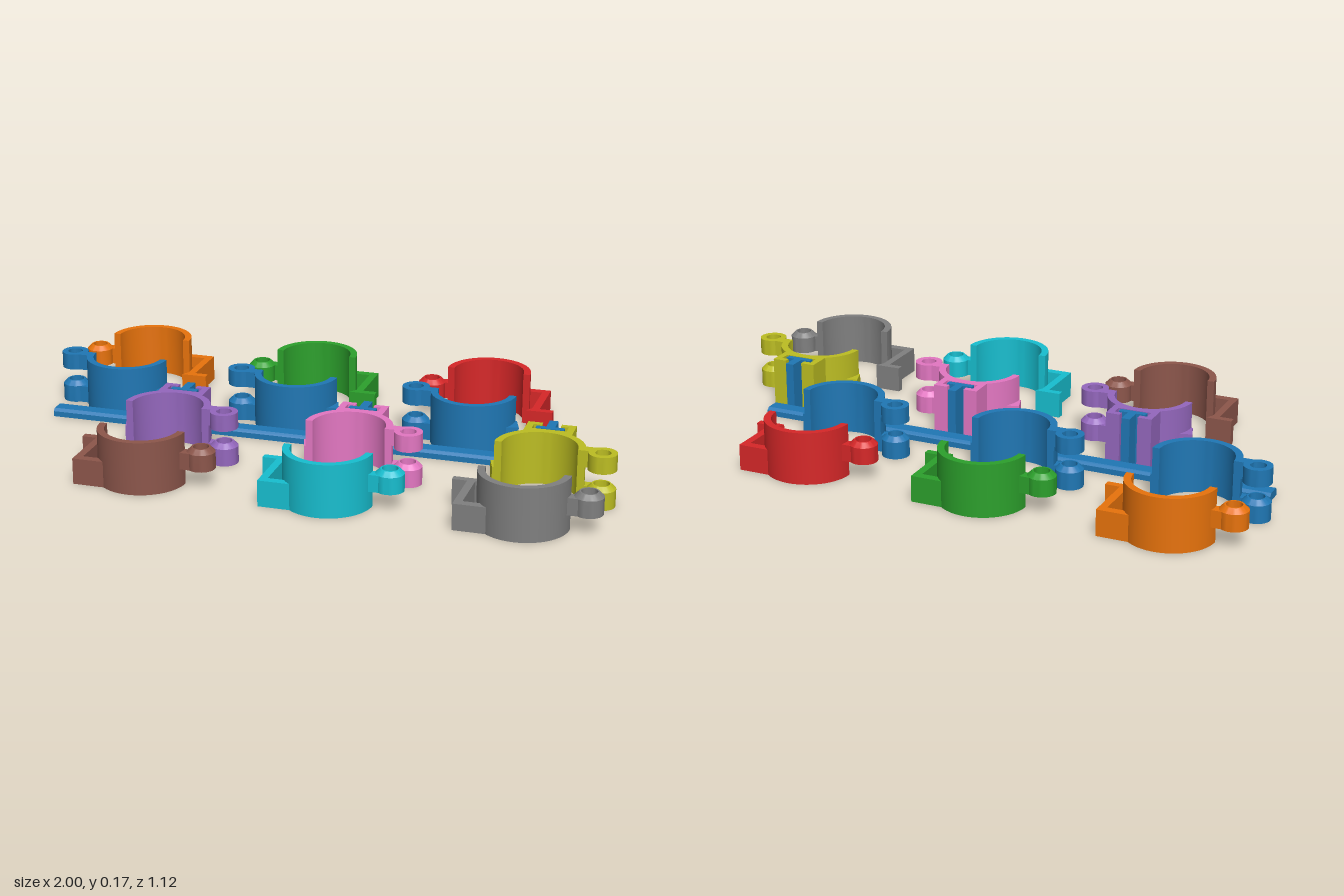
import * as THREE from 'three';
import { toCreasedNormals } from 'three/addons/utils/BufferGeometryUtils.js';

const H = 0.172, R_OUT = 0.141, R_IN = 0.118, HINGE_X = -0.195;

const COLORS = {
  blue: 0x1f77b4, orange: 0xff7f0e, green: 0x2ca02c, red: 0xd62728, purple: 0x9467bd,
  brown: 0x8c564b, pink: 0xe377c2, grey: 0x7f7f7f, olive: 0xbcbd22, cyan: 0x17becf,
};

// Plan outline (x, v) extruded upward from y0 to y1; v points to -z, or +z when flip is -1
function prism(name, pts, y0, y1, mat, flip = 1) {
  const shape = new THREE.Shape(pts.map(([x, v]) => new THREE.Vector2(x, v * flip)));
  let geo = new THREE.ExtrudeGeometry(shape, { depth: y1 - y0, bevelEnabled: false });
  geo.rotateX(-Math.PI / 2).translate(0, y0, 0);
  geo = toCreasedNormals(geo, 0.5);
  const mesh = new THREE.Mesh(geo, mat);
  mesh.name = name;
  return mesh;
}

const rect = (x0, x1, v0, v1) => [[x0, v0], [x1, v0], [x1, v1], [x0, v1]];

// Half-round band outline
function halfRing() {
  const pts = [], n = 40;
  for (let i = 0; i <= n; i++) {
    const a = (Math.PI * i) / n;
    pts.push([R_OUT * Math.cos(a), R_OUT * Math.sin(a)]);
  }
  for (let i = n; i >= 0; i--) {
    const a = (Math.PI * i) / n;
    pts.push([R_IN * Math.cos(a), R_IN * Math.sin(a)]);
  }
  return pts;
}

// Hollow hinge knuckle; optional cone on top and conical recess below
function knuckle(y0, y1, cone, recess, mat) {
  const r = 0.045, b = 0.025, c = 0.015;
  const pts = [
    [b, y1 + (cone ? c : 0)], [b, y0 + (recess ? c : 0)],
    ...(recess ? [[0.03, y0 + c], [0.042, y0]] : []),
    [r, y0], [r, y1],
    ...(cone ? [[0.03, y1 + c]] : []),
    [b, y1 + (cone ? c : 0)],
  ].map(([x, y]) => new THREE.Vector2(x, y));
  const geo = toCreasedNormals(new THREE.LatheGeometry(pts, 32), 0.5);
  const mesh = new THREE.Mesh(geo, mat);
  mesh.name = 'hingeKnuckle';
  mesh.position.x = HINGE_X;
  return mesh;
}

const hingeArm = [[-0.172, 0], [-0.125, 0], [-0.12, 0.036], [-0.18, 0.036]];

// Clip half with two outer knuckles and a catch tooth
function baseClip(mat, flip) {
  const g = new THREE.Group();
  g.name = 'baseClip';
  g.add(prism('band', halfRing(), 0, H, mat, flip));
  for (const [y0, y1, cone, recess] of [[0, 0.057, true, false], [0.118, H, false, true]]) {
    g.add(knuckle(y0, y1, cone, recess, mat));
    g.add(prism('hingeArm', hingeArm, y0, y1, mat, flip));
  }
  const tooth = [[0.13, 0], [0.146, 0], [0.164, 0.056], [0.118, 0.068]];
  g.add(prism('catchTooth', tooth, 0, 0.085, mat, flip));
  return g;
}

// Clip half with the middle knuckle and a springy latch arm
function latchClip(mat) {
  const g = new THREE.Group();
  g.name = 'latchClip';
  g.add(prism('band', halfRing(), 0, H, mat));
  g.add(knuckle(0.06, 0.115, true, true, mat));
  g.add(prism('hingeArm', hingeArm, 0.06, 0.115, mat));
  const latch = [
    [0.07, 0.108], [0.1, 0.08], [0.168, 0.08], [0.168, -0.078], [0.153, -0.104],
    [0.24, -0.104], [0.24, -0.08], [0.193, -0.08], [0.193, 0.108],
  ];
  g.add(prism('latchArm', latch, 0, 0.085, mat));
  return g;
}

// C-shaped channel that slides over a T post
function slideChannel(mat) {
  const half = [[0.077, 0.11], [0.077, 0.2], [0.03, 0.2], [0.03, 0.18], [0.055, 0.18], [0.055, 0.145]];
  const mirrored = half.map(([x, v]) => [-x, v]).reverse();
  return prism('slideChannel', [...half, ...mirrored, [-0.04, 0.118], [0, 0.128], [0.04, 0.118]], 0, H, mat);
}

export function createModel() {
  const model = new THREE.Group();
  model.name = 'hingedClipSet';
  const mats = {};
  for (const [name, color] of Object.entries(COLORS)) {
    mats[name] = new THREE.MeshStandardMaterial({ color });
    mats[name].name = name;
  }
  const place = (part, x, z, turned = false) => {
    part.position.set(x, 0, z);
    if (turned) part.rotation.y = Math.PI;
    model.add(part);
  };

  // Mounting rail with chamfered top edges
  const profile = [[0.01, 0], [0.075, 0], [0.075, 0.018], [0.065, 0.027], [0.02, 0.027], [0.01, 0.018]];
  const railShape = new THREE.Shape(profile.map(([x, y]) => new THREE.Vector2(x, y)));
  const railGeo = new THREE.ExtrudeGeometry(railShape, { depth: 1.775, bevelEnabled: false });
  railGeo.rotateY(Math.PI / 2).translate(-0.957, 0, 0);
  const rail = new THREE.Mesh(railGeo, mats.blue);
  rail.name = 'rail';
  model.add(rail);

  // Back row: fixed clips on the rail and their loose latch halves
  ['orange', 'green', 'red'].forEach((color, i) => {
    const x = -0.76 + 0.608 * i;
    place(baseClip(mats.blue, -1), x, -0.206);
    place(latchClip(mats[color]), x, -0.421);
  });

  // Front row: T posts, sliding clips and their loose latch halves
  [['purple', 'brown'], ['pink', 'cyan'], ['olive', 'grey']].forEach(([slide, latch], i) => {
    const x = -0.456 + 0.608 * i;
    const post = new THREE.Group();
    post.name = 'tPost';
    post.add(prism('postStem', rect(-0.014, 0.014, -0.045, 0.016), 0, H, mats.blue));
    post.add(prism('postHead', rect(-0.045, 0.045, -0.06, -0.04), 0, H, mats.blue));
    place(post, x, 0);
    const clip = baseClip(mats[slide], -1);
    clip.add(slideChannel(mats[slide]));
    // The sliding clip keeps its band toward the rail
    clip.children[clip.children.length - 1].rotation.y = Math.PI;
    place(clip, x, 0.21, true);
    place(latchClip(mats[latch]), x, 0.421, true);
  });

  return model;
}
